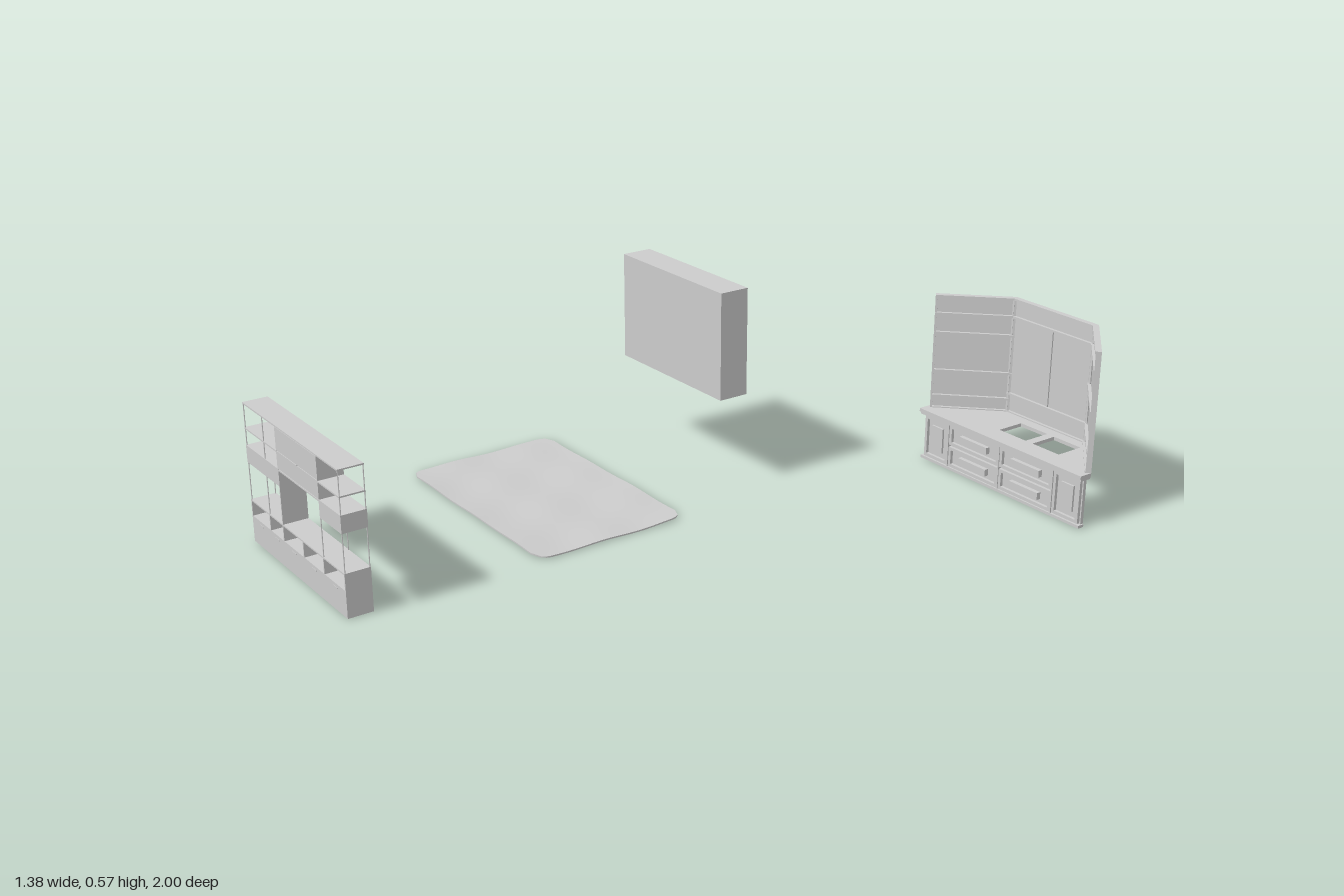
import * as THREE from 'three';

const mat = new THREE.MeshStandardMaterial({ color: 0xcccccc, side: THREE.DoubleSide });

function add(parent, name, geo) {
  const m = new THREE.Mesh(geo, mat);
  m.name = name;
  parent.add(m);
  return m;
}

// Box given by its min and max corners
function block(parent, name, x0, x1, y0, y1, z0, z1) {
  const m = add(parent, name, new THREE.BoxGeometry(x1 - x0, y1 - y0, z1 - z0));
  m.position.set((x0 + x1) / 2, (y0 + y1) / 2, (z0 + z1) / 2);
  return m;
}

function group(parent, name) {
  const g = new THREE.Group();
  g.name = name;
  parent.add(g);
  return g;
}

// Thin soft rug with rounded corners and shallow wrinkles
function buildRug(parent) {
  const hx = 0.3475, hz = 0.23, r = 0.04;
  const geo = new THREE.BoxGeometry(2 * hx, 0.004, 2 * hz, 48, 1, 36);
  const p = geo.attributes.position;
  for (let i = 0; i < p.count; i++) {
    let x = p.getX(i), z = p.getZ(i);
    const over = Math.max(0, Math.abs(z) - (hz - r));
    x *= (hx - r + Math.sqrt(Math.max(0, r * r - over * over))) / hx;
    const wave = 0.0018 * Math.sin(9 * x + 14 * z) * Math.cos(17 * z - 6 * x) + 0.0012 * Math.sin(26 * x - 21 * z);
    const edge = 0.003 * Math.pow(Math.abs(z) / hz, 4);
    p.setXYZ(i, x, p.getY(i) + 0.0075 + wave + edge, z);
  }
  geo.computeVertexNormals();
  add(parent, 'rug', geo).position.set(-0.3425, 0, 0.23);
}

// Media wall: low cabinets, slim posts, shelves and hanging cabinets
function buildShelving(parent) {
  const g = group(parent, 'shelvingUnit');
  const xs = [-0.54, -0.425, -0.344, -0.227, -0.112, 0.005];
  const z0 = 0.93, z1 = 1.0, t = 0.004;
  const board = (name, a, b, y) => block(g, name, a, b, y - t, y, z0, z1);

  // Low cabinets with an open niche above closed doors
  for (const y of [0.008, 0.078, 0.124]) board('lowBoard', xs[0], xs[5], y);
  block(g, 'lowBack', xs[0], xs[5], 0.004, 0.124, z0, z0 + t);
  xs.forEach((x, i) => {
    const c = Math.min(Math.max(x, xs[0] + 0.002), xs[5] - 0.002);
    block(g, 'lowDivider', c - 0.002, c + 0.002, 0.004, 0.124, z0, z1);
    if (i < 5) {
      block(g, 'lowDoor', x + 0.001, xs[i + 1] - 0.001, 0.006, 0.075, z1 - 0.005, z1);
      const mid = (x + xs[i + 1]) / 2;
      block(g, 'doorHandle', mid - 0.012, mid + 0.012, 0.066, 0.069, z1 - 0.002, z1 + 0.001);
    }
  });

  // Upper shelves
  board('topShelf', xs[0], xs[5], 0.395);
  board('middleShelf', xs[0], xs[5], 0.326);
  block(g, 'upperDivider', xs[2] - 0.002, xs[2] + 0.002, 0.124, 0.395, z0, z1);

  // Closed centre cabinets
  block(g, 'centreBack', xs[2], xs[4], 0.272, 0.395, z0, z0 + t);
  board('centreBottom', xs[2], xs[4], 0.276);
  for (const i of [2, 3]) {
    block(g, 'centreDoor', xs[i] + 0.001, xs[i + 1] - 0.001, 0.278, 0.322, z1 - 0.004, z1);
    block(g, 'centreFlap', xs[i] + 0.001, xs[i + 1] - 0.001, 0.328, 0.39, z1 - 0.004, z1);
    block(g, 'centreSide', xs[i + 1] - 0.002, xs[i + 1] + 0.002, 0.272, 0.395, z0, z1);
  }

  // Hanging cabinets at either end
  for (const [a, b] of [[xs[0], xs[2]], [xs[4], xs[5]]]) {
    block(g, 'hangingCabinet', a, b, 0.229, 0.277, z0, z1);
  }

  // Slim posts at front and back
  for (const x of [xs[0] + 0.002, xs[1], xs[4], xs[5] - 0.002]) {
    for (const z of [z0 + 0.002, z1 - 0.002]) {
      const h = 0.271;
      const post = add(g, 'post', new THREE.CylinderGeometry(0.0015, 0.0015, h, 8));
      post.position.set(x, 0.124 + h / 2, z);
    }
  }
}

// Panelled wall in its own frame: origin at the start, x along, outside at z = 0
function buildWall(parent, name, a, b, levels, posts) {
  const g = group(parent, name);
  const len = Math.hypot(b[0] - a[0], b[1] - a[1]);
  g.position.set(a[0], 0, a[1]);
  g.rotation.y = -Math.atan2(b[1] - a[1], b[0] - a[0]);
  block(g, 'panel', 0, len, 0.157, 0.5, 0.003, 0.008);
  for (const y of levels) block(g, 'rail', 0, len, y - 0.003, y + 0.003, 0, 0.017);
  for (const u of [0.003, len - 0.003]) block(g, 'endStile', u - 0.003, u + 0.003, 0.157, 0.5, 0, 0.015);
  for (const u of posts) block(g, 'doorPost', u * len - 0.002, u * len + 0.002, 0.215, 0.445, 0, 0.012);
}

// Framed front with a raised border and a central panel or pull
function framedFront(parent, name, x0, x1, y0, y1, inset, pull) {
  const g = group(parent, name);
  const z = -0.822, w = 0.009;
  block(g, 'frameBottom', x0, x1, y0, y0 + w, z, z + 0.009);
  block(g, 'frameTop', x0, x1, y1 - w, y1, z, z + 0.009);
  block(g, 'frameLeft', x0, x0 + w, y0 + w, y1 - w, z, z + 0.009);
  block(g, 'frameRight', x1 - w, x1, y0 + w, y1 - w, z, z + 0.009);
  const my = (y0 + y1) / 2;
  if (pull) block(g, 'pull', x0 + inset, x1 - inset, my - 0.01, my + 0.01, z, z + 0.013);
  else block(g, 'raisedPanel', x0 + inset, x1 - inset, y0 + inset, y1 - inset, z, z + 0.006);
}

// Corner kitchen: cabinet front, worktop with two sink openings, three walls
function buildKitchen(parent) {
  const g = group(parent, 'kitchen');

  // Cabinet front
  block(g, 'cabinetFront', 0.072, 0.678, 0.005, 0.146, -0.832, -0.822);
  block(g, 'plinth', 0.068, 0.682, 0.005, 0.013, -0.83, -0.81);
  framedFront(g, 'doorFront', 0.078, 0.172, 0.015, 0.14, 0.025, false);
  framedFront(g, 'doorFront', 0.58, 0.674, 0.015, 0.14, 0.025, false);
  for (const x of [0.178, 0.378]) {
    for (const y of [0.014, 0.08]) framedFront(g, 'drawerFront', x, x + 0.195, y, y + 0.06, 0.044, true);
  }
  for (const x of [0.175, 0.3755, 0.5765]) block(g, 'stile', x - 0.002, x + 0.002, 0.01, 0.146, -0.824, -0.811);

  // Worktop outline, drawn with -z upwards
  const outline = [[0.065, 0.8], [0.685, 0.8], [0.685, 0.84], [0.53, 1.0], [0.225, 1.0], [0.065, 0.84]];
  const top = new THREE.Shape(outline.map(([x, y]) => new THREE.Vector2(x, y)));
  for (const [x0, x1] of [[0.322, 0.422], [0.448, 0.545]]) {
    top.holes.push(new THREE.Path([[x0, 0.865], [x0, 0.95], [x1, 0.95], [x1, 0.865]]
      .map(([x, y]) => new THREE.Vector2(x, y))));
  }
  const geo = new THREE.ExtrudeGeometry(top, { depth: 0.01, bevelEnabled: false });
  geo.rotateX(-Math.PI / 2);
  add(g, 'worktop', geo).position.y = 0.15;
  block(g, 'worktopLip', 0.067, 0.683, 0.143, 0.15, -0.84, -0.804);

  // Walls
  buildWall(g, 'leftWall', [0.065, -0.84], [0.225, -1.0], [0.16, 0.197, 0.274, 0.388, 0.445, 0.497], []);
  buildWall(g, 'backWall', [0.225, -1.0], [0.53, -1.0], [0.16, 0.215, 0.445, 0.497], [0.5]);
  buildWall(g, 'rightWall', [0.53, -1.0], [0.685, -0.84], [0.16, 0.215, 0.33, 0.445, 0.497], []);
}

export function createModel() {
  const root = new THREE.Group();
  root.name = 'roomFurniture';
  buildRug(root);
  buildShelving(root);
  buildKitchen(root);
  // Plain wall-mounted box
  block(root, 'wallBox', -0.56, -0.094, 0.268, 0.577, -0.287, -0.197);
  return root;
}
